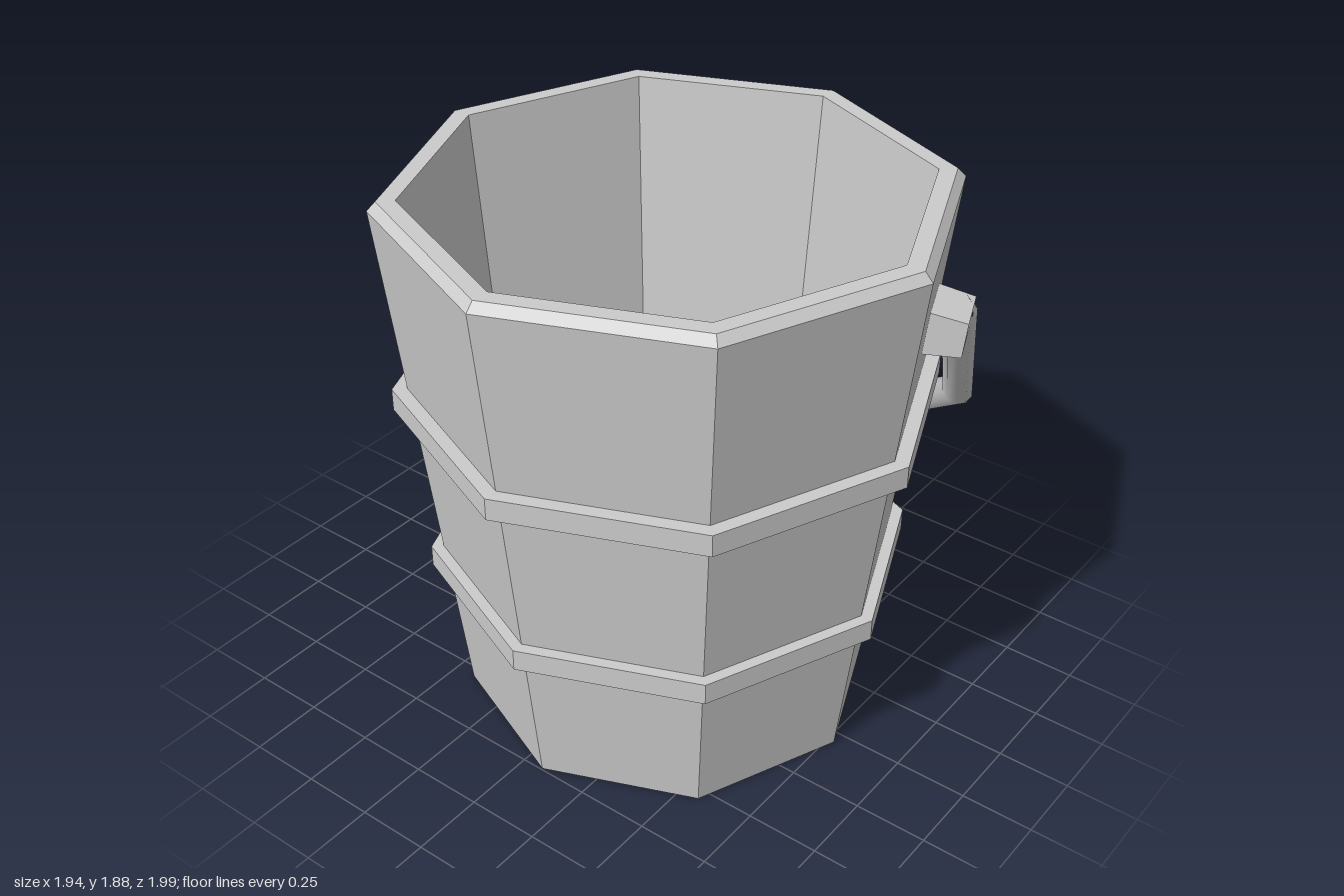
import * as THREE from 'three';

const SIDES = 8;
const CENTRE = new THREE.Vector3(-0.045, 0, 0.075);
const flat = new THREE.MeshStandardMaterial({ color: 0xcccccc, flatShading: true });
const smooth = new THREE.MeshStandardMaterial({ color: 0xcccccc });

// Straight-sided path whose tube rings sit on the corners
class Polyline extends THREE.Curve {
  constructor(points) {
    super();
    this.points = points;
  }
  getPoint(t, target = new THREE.Vector3()) {
    const n = this.points.length - 1;
    const i = Math.min(Math.floor(t * n + 1e-9), n - 1);
    return target.lerpVectors(this.points[i], this.points[i + 1], t * n - i);
  }
  getPointAt(t, target) { return this.getPoint(t, target); }
  getTangentAt(t, target) { return this.getTangent(t, target); }
}

// Eight-sided body of revolution from [radius, height] pairs
function octagonal(name, profile) {
  const points = profile.map(([r, y]) => new THREE.Vector2(r, y));
  const mesh = new THREE.Mesh(new THREE.LatheGeometry(points, SIDES), flat);
  mesh.name = name;
  mesh.position.copy(CENTRE);
  return mesh;
}

// Square hoop around the staves
function hoop(name, y, outer, inner) {
  const h = 0.038;
  return octagonal(name, [
    [inner, y - h], [outer, y - h], [outer, y + h], [inner, y + h], [inner, y - h],
  ]);
}

// Block holding one end of the handle, slightly narrower at its outer face
function bracket(name, angle) {
  const geometry = new THREE.BoxGeometry(0.19, 0.15, 0.14);
  const p = geometry.attributes.position;
  for (let i = 0; i < p.count; i++) {
    if (p.getZ(i) > 0) p.setXY(i, p.getX(i) * 0.92, p.getY(i) * 0.8);
  }
  const mesh = new THREE.Mesh(geometry, flat);
  mesh.name = name;
  mesh.rotation.order = 'YXZ';
  mesh.rotation.set(0.1, angle, 0);
  mesh.position.set(Math.sin(angle) * 0.862, 1.53, Math.cos(angle) * 0.862).add(CENTRE);
  return mesh;
}

export function createModel() {
  const model = new THREE.Group();
  model.name = 'bucket';

  // Staves, bevelled rim, inner wall and floor
  model.add(octagonal('body', [
    [0, 0], [0.7, 0], [0.918, 1.85], [0.89, 1.88], [0.83, 1.88], [0.69, 0.4], [0, 0.4],
  ]));

  model.add(hoop('upperHoop', 1.18, 0.893, 0.82));
  model.add(hoop('lowerHoop', 0.548, 0.81, 0.745));

  // Brackets on opposite faces
  model.add(bracket('frontBracket', Math.PI / 8));
  model.add(bracket('backBracket', Math.PI / 8 + Math.PI));

  // Handle hanging down to one side
  const path = [
    [0.32, 1.56, 0.88], [0.39, 1.51, 0.86], [0.86, 0.91, 0.64], [0.92, 0.63, 0.2],
    [0.79, 0.54, -0.3], [0.54, 0.66, -0.71], [0.15, 0.94, -0.94],
    [-0.19, 1.31, -0.85], [-0.36, 1.55, -0.78],
  ].map((p) => new THREE.Vector3(...p));
  const handle = new THREE.Mesh(
    new THREE.TubeGeometry(new Polyline(path), path.length - 1, 0.056, 10), smooth);
  handle.name = 'handle';
  model.add(handle);

  return model;
}
